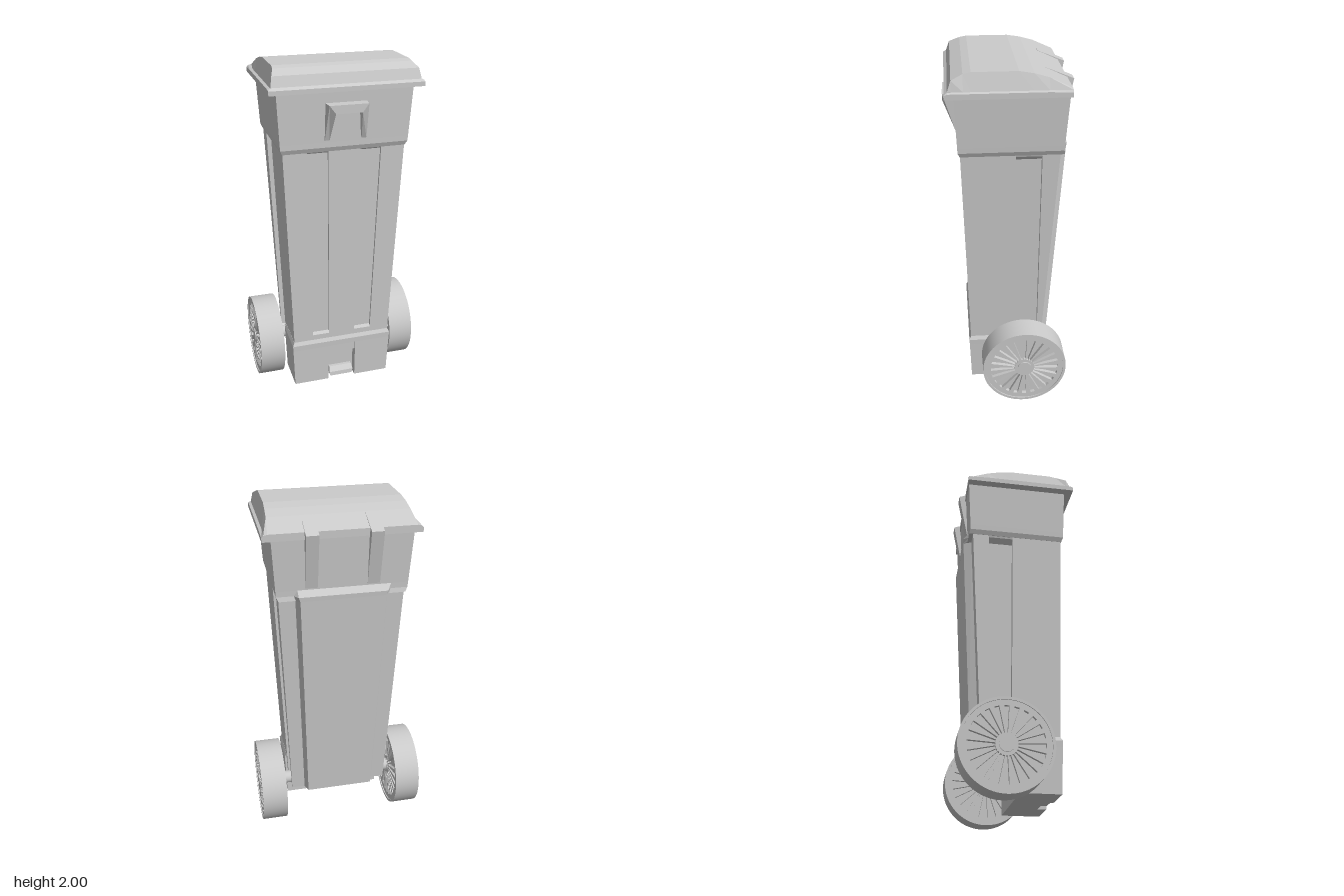
import * as THREE from 'three';
import { toCreasedNormals } from 'three/addons/utils/BufferGeometryUtils.js';

const flat = new THREE.MeshStandardMaterial({ color: 0xcccccc, flatShading: true });
const smooth = new THREE.MeshStandardMaterial({ color: 0xcccccc });

function add(parent, name, geometry, material = flat) {
  const mesh = new THREE.Mesh(geometry, material);
  mesh.name = name;
  parent.add(mesh);
  return mesh;
}

// Closed solid through counter-clockwise 2D rings; place(u, v, w) gives [x, y, z].
function loft(rings, place) {
  const pos = [];
  const put = (k, i) => pos.push(...place(rings[k].pts[i][0], rings[k].pts[i][1], rings[k].at));
  const n = rings[0].pts.length, last = rings.length - 1;
  for (let k = 0; k < last; k++) {
    for (let i = 0; i < n; i++) {
      const j = (i + 1) % n;
      put(k, i); put(k, j); put(k + 1, j);
      put(k, i); put(k + 1, j); put(k + 1, i);
    }
  }
  const cap = (k, flip) => {
    const contour = rings[k].pts.map(([u, v]) => new THREE.Vector2(u, v));
    for (const [a, b, c] of THREE.ShapeUtils.triangulateShape(contour, [])) {
      put(k, a); put(k, flip ? c : b); put(k, flip ? b : c);
    }
  };
  cap(0, true);
  cap(last, false);
  const geo = new THREE.BufferGeometry();
  geo.setAttribute('position', new THREE.Float32BufferAttribute(pos, 3));
  geo.computeVertexNormals();
  return geo;
}

// Horizontal rings are written as [z, x] for the left half and mirrored.
const upright = (z, x, y) => [x, y, z];
const mirrored = (half) => [...half, ...half.map(([z, x]) => [z, -x]).reverse()];

// Section of the bin: front flutes (depth d), side groove (g), stepped rear corners (n).
function binRing(y, hw, zf, zb, d, g, n) {
  const k = hw / 0.34;
  return {
    at: y,
    pts: mirrored([
      [zf, 0.09 * k], [zf - d, 0.09 * k], [zf - d, 0.207 * k], [zf, 0.207 * k], [zf, hw],
      [-0.03, hw], [-0.03, hw - g], [-0.17, hw - g], [-0.17, hw],
      [zb + n, hw], [zb + n, 0.25 * k], [zb, 0.23 * k],
    ]),
  };
}

function extrude(points, depth) {
  const shape = new THREE.Shape(points.map(([x, y]) => new THREE.Vector2(x, y)));
  return new THREE.ExtrudeGeometry(shape, { depth, bevelEnabled: false });
}

function buildBody(group) {
  // Tapering container
  const lerp = THREE.MathUtils.lerp;
  const levels = [[0.24, 0, 0.03], [0.385, 0, 0.03], [0.4, 0.014, 0.03],
    [1.51, 0.014, 0.03], [1.535, 0.014, 0.004], [1.55, 0, 0]];
  add(group, 'container', loft(levels.map(([y, d, g]) => {
    const t = (y - 0.24) / 1.31;
    return binRing(y, lerp(0.29, 0.34, t), lerp(0.226, 0.26, t), lerp(-0.235, -0.31, t), d, g, 0.045);
  }), upright));

  // Wider collar under the lid
  add(group, 'collar', loft([
    binRing(1.545, 0.341, 0.261, -0.31, 0, 0, 0.022),
    binRing(1.57, 0.353, 0.272, -0.312, 0, 0, 0.03),
    binRing(1.6, 0.355, 0.273, -0.283, 0, 0, 0),
    binRing(1.885, 0.37, 0.285, -0.3, 0, 0, 0),
  ], upright));

  // Foot block with a front notch
  const foot = [[0.05, 0.295, 0.23, 0.05], [0.295, 0.304, 0.238, 0.05], [0.2952, 0.304, 0.238, 0],
    [0.33, 0.306, 0.24, 0], [0.352, 0.295, 0.229, 0]];
  add(group, 'footBlock', loft(foot.map(([y, hw, zf, d]) => ({
    at: y, pts: mirrored([[zf - d, 0.085], [zf, 0.085], [zf, hw], [0.01, hw]]),
  })), upright));
  add(group, 'footLedge', loft([[0.065, 0.068, 0.228], [0.09, 0.075, 0.225], [0.115, 0.07, 0.2]].map(
    ([y, hw, zf]) => ({ at: y, pts: mirrored([[zf, hw], [0.17, hw]]) })), upright));
}

function buildLid(group) {
  // Each station: z, rim half-width, rim top, shoulder half-width, crown half-width, crown height
  const stations = [
    [-0.305, 0.415, 1.9, 0.405, 0.385, 1.915],
    [-0.19, 0.415, 1.905, 0.4, 0.376, 1.967],
    [-0.115, 0.415, 1.905, 0.4, 0.373, 1.988],
    [-0.04, 0.415, 1.905, 0.4, 0.37, 2],
    [0.195, 0.415, 1.905, 0.4, 0.37, 2],
    [0.235, 0.415, 1.905, 0.4, 0.372, 1.992],
    [0.294, 0.415, 1.905, 0.4, 0.39, 1.966],
    [0.313, 0.415, 1.905, 0.4, 0.4, 1.912],
    [0.33, 0.415, 1.898, 0.414, 0.413, 1.9],
  ];
  add(group, 'lid', loft(stations.map(([z, rim, rimY, shoulder, crown, top]) => {
    const right = [[rim, 1.876], [rim, rimY], [shoulder, Math.min(1.91, top)], [crown, top]];
    return { at: z, pts: [...right, ...right.map(([x, y]) => [-x, y]).reverse()] };
  }), (x, y, z) => [x, y, z]));

  // Two hinge ribs down the back
  for (const side of [-1, 1]) {
    const rib = extrude([[0.19, 1.968], [0.2, 1.6], [0.282, 1.6], [0.342, 1.906]], 0.067);
    rib.rotateY(Math.PI / 2);
    const mesh = add(group, 'hingeRib', rib);
    // Profile x becomes -z, depth becomes +x
    mesh.position.x = side > 0 ? 0.133 : -0.2;
  }
}

function buildHandle(group) {
  const half = [[0.088, 1.61], [0.115, 1.61], [0.115, 1.81], [0.115, 1.81]].slice(0, 3);
  const inner = [[0.078, 1.765]];
  const outline = [...half, ...half.map(([x, y]) => [-x, y]).reverse(), [-inner[0][0], inner[0][1]], inner[0]];
  const geo = extrude(outline, 0.08);
  const p = geo.attributes.position;
  // Front face leans out toward the top
  for (let i = 0; i < p.count; i++) {
    const front = p.getZ(i) > 0.04;
    const t = Math.min(1, (p.getY(i) - 1.61) / 0.155);
    p.setZ(i, front ? 0.278 + 0.064 * t : 0.25);
    if (front) p.setX(i, p.getX(i) * (1 - 0.08 * t));
  }
  geo.computeVertexNormals();
  add(group, 'frontHandle', geo);
}

function buildWheel(side) {
  const wheel = new THREE.Group();
  wheel.name = side > 0 ? 'leftWheel' : 'rightWheel';
  const disc = (r) => new THREE.Shape().absarc(0, 0, r, 0, Math.PI * 2);
  const solid = (shape, depth) => {
    const geo = new THREE.ExtrudeGeometry(shape, { depth, bevelEnabled: false, curveSegments: 48 });
    geo.translate(0, 0, -depth / 2);
    return toCreasedNormals(geo.rotateY(Math.PI / 2), 0.5);
  };

  // Tyre ring
  const tyre = disc(0.245);
  tyre.holes.push(new THREE.Path().absarc(0, 0, 0.23, 0, Math.PI * 2, true));
  add(wheel, 'tyre', solid(tyre, 0.147), smooth);

  // Slotted face
  const face = disc(0.231);
  const count = 24;
  for (let i = 0; i < count; i++) {
    const a = (i / count) * Math.PI * 2, c = Math.cos(a), s = Math.sin(a);
    const slot = [[0.058, -0.005], [0.058, 0.005], [0.2, 0.013], [0.2, -0.013]];
    face.holes.push(new THREE.Path(slot.map(([r, t]) => new THREE.Vector2(r * c - t * s, r * s + t * c))));
  }
  add(wheel, 'slottedFace', solid(face, 0.135), smooth);

  // Solid core behind the slots, and hub cap
  add(wheel, 'core', solid(disc(0.22), 0.095), smooth);
  add(wheel, 'hub', solid(disc(0.04), 0.147), smooth);
  wheel.position.set(side * 0.412, 0.245, side > 0 ? -0.078 : -0.086);
  return wheel;
}

export function createModel() {
  const model = new THREE.Group();
  model.name = 'wheeledBin';
  buildBody(model);
  buildLid(model);
  buildHandle(model);

  // Axle and wheels
  const axle = add(model, 'axle', new THREE.CylinderGeometry(0.038, 0.038, 0.76, 24).rotateZ(Math.PI / 2), smooth);
  axle.position.set(0, 0.245, -0.082);
  for (const side of [-1, 1]) model.add(buildWheel(side));
  return model;
}
